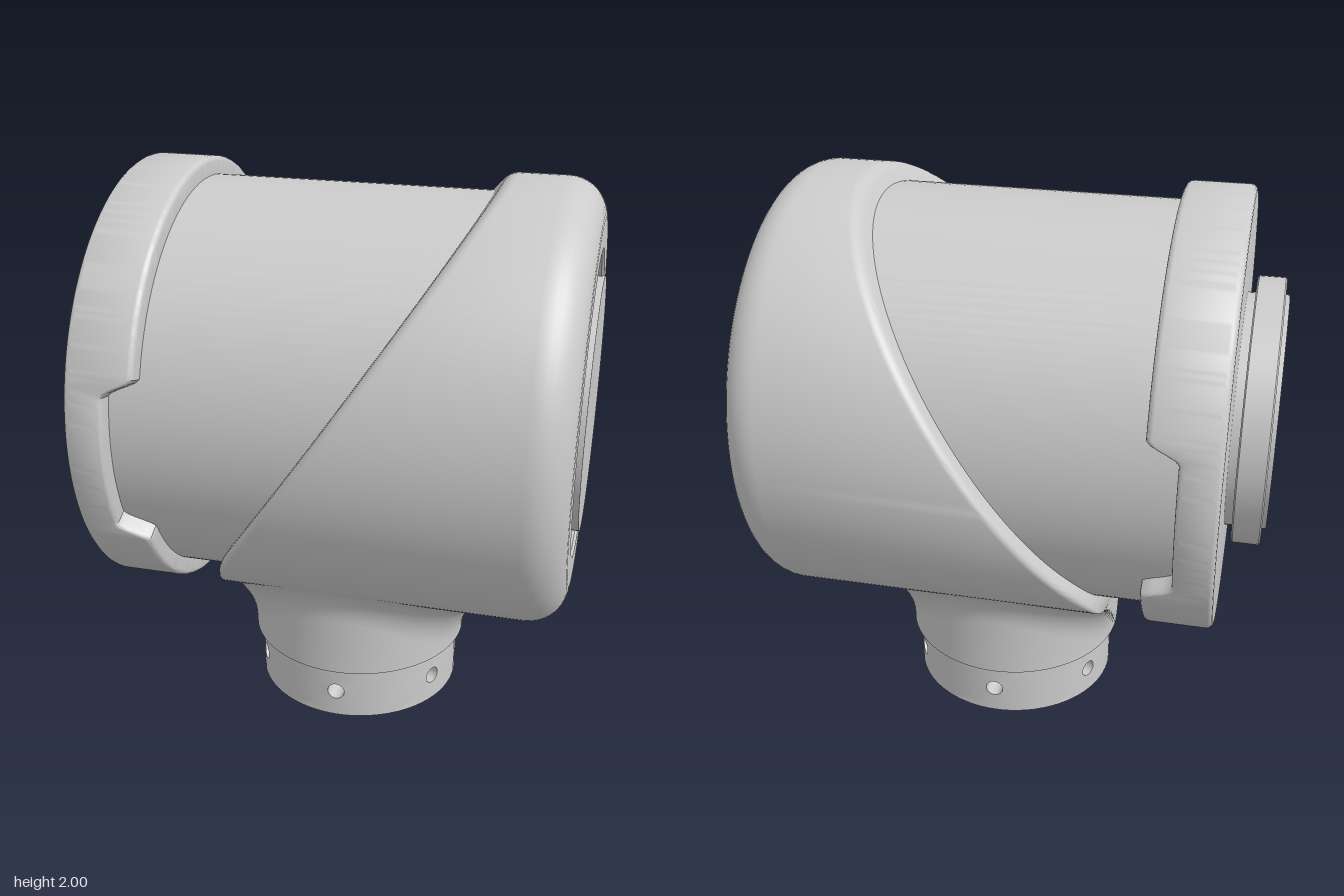
import * as THREE from 'three';
import { mergeGeometries, toCreasedNormals } from 'three/addons/utils/BufferGeometryUtils.js';

const AXIS_Y = 1.215;          // height of the horizontal main axis
const R = 0.785;               // housing and cap radius
const NECK_X = 0.055, NECK_R = 0.41, BORE_R = 0.29;
const FILLET = 0.22;           // blend between neck and housing
const FLUSH_X = -0.355;        // flat side shared by neck and housing

// Surface through cross-section loops: fn(u, j), u in 0..1 around, j = section index
function grid(nu, nj, fn) {
  const pos = [], idx = [];
  for (let j = 0; j < nj; j++)
    for (let i = 0; i <= nu; i++) pos.push(...fn((i % nu) / nu, j));
  const w = nu + 1;
  for (let j = 0; j < nj - 1; j++)
    for (let i = 0; i < nu; i++) {
      const a = j * w + i, b = a + 1, c = b + w, d = a + w;
      idx.push(a, b, c, a, c, d);
    }
  const g = new THREE.BufferGeometry();
  g.setAttribute('position', new THREE.Float32BufferAttribute(pos, 3));
  g.setIndex(idx);
  return g;
}

// Solid of revolution about the main axis, profile [x, radius] from left to right
function turned(profile, segments = 96) {
  const g = new THREE.LatheGeometry(profile.map(([x, r]) => new THREE.Vector2(r, x)), segments);
  return g.rotateZ(-Math.PI / 2).translate(0, AXIS_Y, 0);
}

// Swept ring about the main axis whose profile [x, radius] may vary with angle
function ring(nu, profileAt) {
  const loops = Array.from({ length: nu }, (_, i) => profileAt((i / nu) * 2 * Math.PI));
  return grid(nu, loops[0].length, (u, j) => {
    const a = u * 2 * Math.PI;
    const [x, r] = loops[Math.round(u * nu)][j];
    return [x, AXIS_Y + r * Math.cos(a), r * Math.sin(a)];
  });
}

const smooth = THREE.MathUtils.smoothstep;

// Slanted front edge of the housing, blending into the vertical flush side
function cutX(y) {
  const h = 0.1, d = 0.074 + 0.68 * (y - 1.3) - FLUSH_X;
  if (d > h) return FLUSH_X + d;
  return d < -h ? FLUSH_X : FLUSH_X + (d + h) ** 2 / (4 * h);
}

function housingGeometry() {
  return ring(160, (a) => {
    const yAt = (r) => AXIS_Y + r * Math.cos(a);
    const p = [];
    const lip = 0.03 * smooth(yAt(R), 0.5, 0.75) + 0.0005;
    for (const r of [0.715, 0.735, R - lip]) p.push([cutX(yAt(r)), r]);
    for (let i = 1; i <= 5; i++) {
      const t = (i / 5) * Math.PI / 2, r = R - lip + lip * Math.sin(t);
      p.push([cutX(yAt(r)) + lip * (1 - Math.cos(t)), r]);
    }
    for (let i = 0; i <= 10; i++) {
      const t = (i / 10) * Math.PI / 2;
      p.push([0.74 + 0.14 * Math.sin(t), R - 0.14 + 0.14 * Math.cos(t)]);
    }
    // recess in the end face
    p.push([0.88, 0.545], [0.87, 0.535], [0.74, 0.535], [0.74, 0.3]);
    return p;
  });
}

function capGeometry() {
  return ring(360, (a) => {
    const y = AXIS_Y + R * Math.cos(a);
    // notch in the rim on the front and the back
    const notch = smooth(y, 0.84, 0.91) * (1 - smooth(y, 1.39, 1.46));
    const end = -0.515 - 0.105 * notch;
    const p = [[-0.755, 0], [-0.755, R - 0.025]];
    for (let i = 1; i <= 4; i++) {
      const t = (i / 4) * Math.PI / 2;
      p.push([-0.73 - 0.025 * Math.cos(t), R - 0.025 + 0.025 * Math.sin(t)]);
    }
    for (let i = 0; i <= 4; i++) {
      const t = (i / 4) * Math.PI / 2;
      p.push([end - 0.02 + 0.02 * Math.sin(t), R - 0.02 + 0.02 * Math.cos(t)]);
    }
    p.push([end, 0.715]);
    return p;
  });
}

// Hollow neck ending in a rolling-ball fillet against the housing
function neckGeometry() {
  const base = [[0, 0.42], [BORE_R, 0.42], [BORE_R, 0.21], [NECK_R, 0.21]];
  const steps = 12;
  return grid(128, base.length + steps + 1, (u, j) => {
    const a = u * 2 * Math.PI, c = Math.cos(a), s = -Math.sin(a);
    if (j < base.length) return [NECK_X + base[j][0] * c, base[j][1], base[j][0] * s];
    const d = NECK_R + FILLET, cz = d * s;
    const cy = AXIS_Y - Math.sqrt((R + FILLET) ** 2 - cz * cz);
    const from = new THREE.Vector3(-c, 0, -s);
    const to = new THREE.Vector3(0, AXIS_Y - cy, -cz).normalize();
    const angle = from.angleTo(to), t = (j - base.length) / steps;
    const n = from.multiplyScalar(Math.sin((1 - t) * angle))
      .addScaledVector(to, Math.sin(t * angle)).multiplyScalar(FILLET / Math.sin(angle));
    return [Math.max(FLUSH_X, NECK_X + d * c + n.x), cy + n.y, cz + n.z];
  });
}

// Collar made of six equal sectors, each pierced by a round hole
function collarGeometry() {
  const outer = 0.385, half = 0.105, hole = 0.032;
  // [radius, blend from hole edge (0) to sector border (1)]
  const path = [[outer, 1], [outer, 0.6], [outer, 0.3], [outer, 0],
    [BORE_R, 0], [BORE_R, 0.3], [BORE_R, 0.6], [BORE_R, 1], [outer, 1]];
  const sectors = [];
  for (let k = 0; k < 6; k++)
    sectors.push(grid(48, path.length, (u, j) => {
      const [r, t] = path[j];
      const c = Math.cos(u * 2 * Math.PI), s = Math.sin(u * 2 * Math.PI);
      const m = Math.max(Math.abs(c), Math.abs(s));
      const a = k * Math.PI / 3 + THREE.MathUtils.lerp(hole * c / r, (c / m) * Math.PI / 6, t);
      const y = half + THREE.MathUtils.lerp(hole * s, (s / m) * half, t);
      return [NECK_X + r * Math.sin(a), y, r * Math.cos(a)];
    }));
  return mergeGeometries(sectors);
}

export function createModel() {
  const group = new THREE.Group();
  const material = new THREE.MeshStandardMaterial({ color: 0xcccccc });
  const add = (name, geometry) => {
    const mesh = new THREE.Mesh(toCreasedNormals(geometry, 0.6), material);
    mesh.name = name;
    group.add(mesh);
  };

  add('housing', housingGeometry());
  add('neck', neckGeometry());
  add('collar', collarGeometry());
  add('innerBody', turned([[-0.7, 0], [-0.7, 0.72], [0.7, 0.72], [0.7, 0]], 128));
  add('endCap', capGeometry());
  add('endKnob', turned([[-0.9, 0], [-0.9, 0.415], [-0.885, 0.415], [-0.885, 0.47], [-0.88, 0.475],
    [-0.79, 0.475], [-0.785, 0.47], [-0.785, 0.415], [-0.75, 0.415]]));
  add('recessedDisc', turned([[0.72, 0.45], [0.895, 0.45], [0.895, 0]]));
  return group;
}
